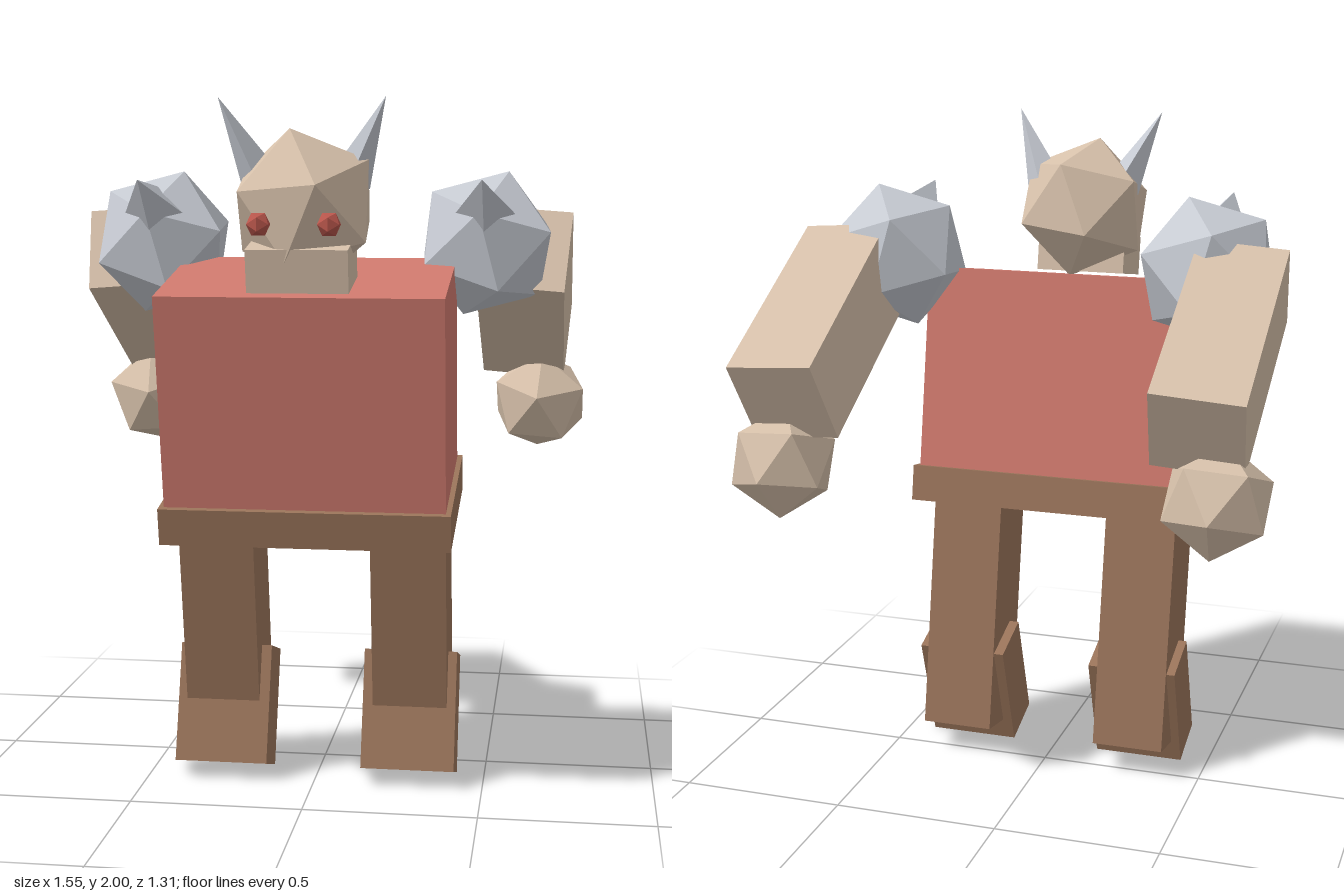
import * as THREE from 'three';

const material = (name, color) => {
  const m = new THREE.MeshStandardMaterial({ color });
  m.name = name;
  return m;
};

export function createModel() {
  const model = new THREE.Group();
  model.name = 'hornedBrute';

  const skin = material('skin', 0xd6c0aa);
  const red = material('red tunic', 0xd07a6e);
  const brown = material('brown leather', 0x9a745a);
  const steel = material('pale steel', 0xc6cad2);
  const eyeRed = material('eye red', 0xb9564c);

  const add = (name, geometry, mat, position, rotation = [0, 0, 0]) => {
    const mesh = new THREE.Mesh(geometry, mat);
    mesh.name = name;
    mesh.position.set(...position);
    mesh.rotation.set(...rotation);
    model.add(mesh);
    return mesh;
  };
  const box = (name, mat, size, position, rotation) =>
    add(name, new THREE.BoxGeometry(...size), mat, position, rotation);
  const ball = (name, mat, radius, position, rotation) =>
    add(name, new THREE.IcosahedronGeometry(radius, 0), mat, position, rotation);

  // Four-sided spike running from the centre of its base to its tip
  const spike = (name, radius, base, tip) => {
    const a = new THREE.Vector3(...base);
    const b = new THREE.Vector3(...tip);
    const axis = b.clone().sub(a);
    const geometry = new THREE.ConeGeometry(radius, axis.length(), 4).toNonIndexed();
    geometry.computeVertexNormals();
    const mesh = add(name, geometry, steel, a.add(b).multiplyScalar(0.5).toArray());
    mesh.quaternion.setFromUnitVectors(new THREE.Vector3(0, 1, 0), axis.normalize());
  };

  // Forward-leaning trunk
  const lean = 0.183;
  box('torso', red, [0.8, 0.616, 0.484], [0, 1.203, 0.275], [lean, 0, 0]);
  box('belt', brown, [0.83, 0.108, 0.522], [0, 0.849, 0.21], [lean, 0, 0]);
  box('neck', skin, [0.28, 0.12, 0.2], [0, 1.55, 0.475], [lean, 0, 0]);

  // Head, tipped back
  ball('head', skin, 0.22, [0, 1.705, 0.42], [-0.28, 1.28, 0]);

  for (const s of [1, -1]) {
    const side = s > 0 ? 'left' : 'right';

    // Face
    ball(side + 'Eye', eyeRed, 0.035, [s * 0.095, 1.66, 0.624]);
    spike(side + 'Horn', 0.058, [s * 0.125, 1.775, 0.4], [s * 0.23, 2, 0.48]);

    // Shoulder armour: the same orientation on both sides
    ball(side + 'Shoulder', steel, 0.22, [s * 0.482, 1.592, 0.045], [0.1, 0.08, 0.25]);
    spike(side + 'ShoulderSpike', 0.1, [s * 0.484, 1.665, 0.14], [s * 0.484, 1.777, 0.375]);

    // Arm swung backwards with a faceted fist
    box(side + 'Arm', skin, [0.26, 0.262, 0.65], [s * 0.594, 1.42, -0.284], [-0.5, 0, -s * 0.085]);
    ball(side + 'Hand', skin, 0.163, [s * 0.637, 1.067, -0.49], [-0.69, 0, -s * 0.085]);

    // Leg and the boot plate crossing it
    box(side + 'Leg', brown, [0.22, 0.717, 0.232], [s * 0.281, 0.4275, 0.1325], [lean, 0, 0]);
    box(side + 'Boot', brown, [0.276, 0.352, 0.168], [s * 0.279, 0.194, 0.137], [-0.32, 0, 0]);
  }

  return model;
}
